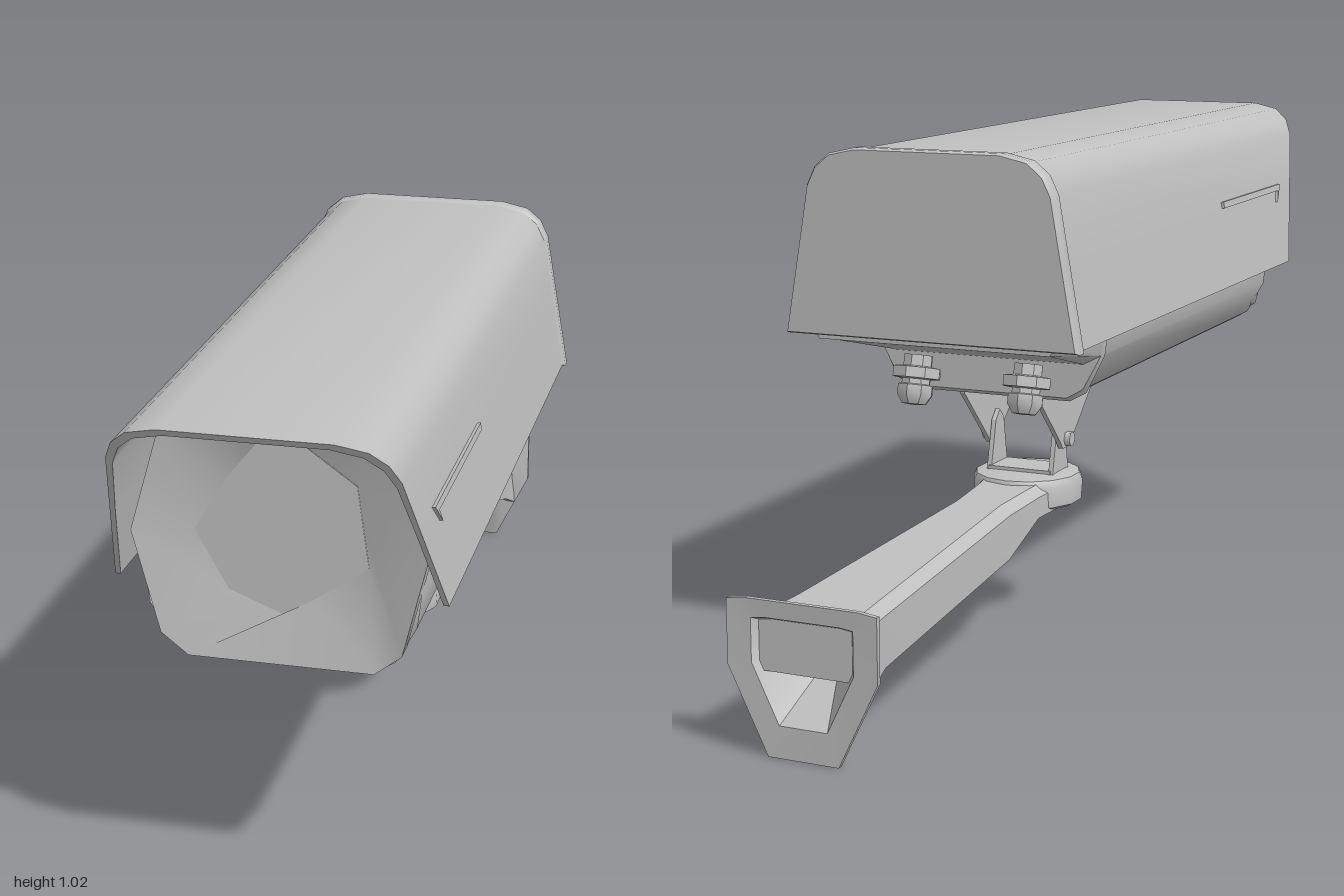
import * as THREE from 'three';
import { toCreasedNormals } from 'three/addons/utils/BufferGeometryUtils.js';

const grey = new THREE.MeshStandardMaterial({ color: 0xc0c0c0, side: THREE.DoubleSide });
grey.name = 'painted metal grey';

// Skin a list of closed rings of [x, y, z]; optional flat end caps
function loft(rings, capStart = true, capEnd = true, crease = 0.7) {
  const n = rings[0].length, pos = [], idx = [];
  rings.forEach(r => r.forEach(p => pos.push(...p)));
  for (let r = 0; r < rings.length - 1; r++) {
    for (let i = 0; i < n; i++) {
      const a = r * n + i, b = r * n + (i + 1) % n;
      idx.push(a, b, b + n, a, b + n, a + n);
    }
  }
  const cap = (base, flip) => {
    const flat = rings[base].map(p => new THREE.Vector2(p[0], p[1]));
    THREE.ShapeUtils.triangulateShape(flat, []).forEach(([a, b, c]) => {
      const o = base * n;
      idx.push(o + a, o + (flip ? c : b), o + (flip ? b : c));
    });
  };
  if (capStart) cap(0, true);
  if (capEnd) cap(rings.length - 1, false);
  const g = new THREE.BufferGeometry();
  g.setAttribute('position', new THREE.Float32BufferAttribute(pos, 3));
  g.setIndex(idx);
  return toCreasedNormals(g, crease);
}

// Complete a right-hand half profile with its mirror image
const mirror = half => [...half, ...half.slice().reverse().map(([x, y]) => [-x, y])];
const atZ = (profile, z) => profile.map(([x, y]) => [x, y, z]);

// Flat plate from a [z, y] outline, thickness along x, centred on x = 0
function sidePlate(points, t) {
  const s = new THREE.Shape(points.map(([z, y]) => new THREE.Vector2(-z, y)));
  const g = new THREE.ExtrudeGeometry(s, { depth: t, bevelEnabled: false });
  return g.translate(0, 0, -t / 2).rotateY(Math.PI / 2);
}

export function createModel() {
  const model = new THREE.Group();
  model.name = 'securityCamera';
  const add = (name, geometry, x = 0, y = 0, z = 0, parent = model) => {
    const m = new THREE.Mesh(geometry, grey);
    m.name = name;
    m.position.set(x, y, z);
    parent.add(m);
    return m;
  };

  // Sun hood: thin arch with a raked front edge
  const arch = [[0.302, 0.665], [0.273, 0.83], [0.252, 0.95], [0.235, 0.985], [0.205, 1.01], [0.15, 1.022]];
  const hoodRing = [...mirror(arch), ...mirror(arch.map(([x, y]) => [x - 0.01, y > 0.9 ? y - 0.012 : y])).reverse()];
  const rake = y => 0.81 + (y - 0.665) * 0.532;
  add('sunHood', loft([atZ(hoodRing, -0.48), hoodRing.map(([x, y]) => [x, y, rake(y)])], true, true, 0.6));

  // Rear cover with a small rim
  const cover = s => mirror(arch).map(([x, y]) => [x * s, 0.845 + (y - 0.845) * s]);
  add('rearCover', loft([atZ(cover(1), -0.505), atZ(cover(1.02), -0.495), atZ(cover(1.02), -0.475), atZ(cover(0.99), -0.465)]));

  // Housing: smooth tray whose underside rises towards the rear
  const tray = mirror([[0.17, 0.52], [0.205, 0.54], [0.243, 0.61], [0.25, 0.665], [0.245, 0.8], [0.21, 0.95], [0.17, 0.985]]);
  const raised = (floor, z) => tray.map(([x, y]) => [x, Math.max(y, floor), z]);
  add('housing', loft([raised(0.652, -0.485), raised(0.59, -0.23), raised(0.52, -0.23), raised(0.52, 0.8)], true, false));
  add('housingLip', loft([atZ(tray, -0.232), atZ(tray.map(([x, y]) => [x * 1.02, y < 0.6 ? y - 0.008 : y]), -0.222),
    atZ(tray, -0.21)]));

  // Front bezel funnelling in to a faceted window
  const rim = [[0.17, 0.52], [0.22, 0.56], [0.268, 0.755], [0.21, 0.95], [0.17, 0.988],
    [-0.16, 0.988], [-0.21, 0.95], [-0.268, 0.755], [-0.22, 0.56], [-0.17, 0.52]];
  const pane = [[0.05, 0.636], [0.155, 0.71], [0.145, 0.785], [0.135, 0.862], [0.04, 0.93],
    [-0.04, 0.93], [-0.1, 0.855], [-0.16, 0.755], [-0.1, 0.645], [0, 0.605]];
  add('bezel', loft([atZ(rim, 0.77), atZ(rim, 0.815), atZ(pane, 0.785)], false, false, 1.2));
  add('window', new THREE.ShapeGeometry(new THREE.Shape(pane.map(p => new THREE.Vector2(...p)))), 0, 0, 0.786);

  // Side trim strips with a small hooked front end
  for (const s of [1, -1]) {
    const strip = sidePlate([[0.4, 0.847], [0.81, 0.847], [0.775, 0.808], [0.787, 0.833], [0.4, 0.833]], 0.009);
    const m = add(s > 0 ? 'leftTrim' : 'rightTrim', strip.translate(0, -0.84, 0), s * 0.273, 0.84, 0);
    m.rotation.z = s * 0.17;
  }

  // Cable glands below the sloped rear panel
  const glandProfile = [[0, -0.07], [0.025, -0.068], [0.037, -0.05], [0.037, -0.03], [0.03, -0.028], [0.03, -0.018],
    [0.05, -0.016], [0.05, 0.005], [0.03, 0.008], [0.03, 0.03]].map(p => new THREE.Vector2(...p));
  for (const s of [1, -1]) {
    const g = toCreasedNormals(new THREE.LatheGeometry(glandProfile, 8), 0.6);
    add(s > 0 ? 'leftGland' : 'rightGland', g, s * 0.12, 0.568, -0.31).rotation.x = 0.25;
  }

  // Tilt bracket: top plate, tapering cheeks, inner yoke and pivot bolts
  const bracket = new THREE.Group();
  bracket.name = 'tiltBracket';
  model.add(bracket);
  add('topPlate', new THREE.BoxGeometry(0.176, 0.012, 0.31), 0, 0.513, -0.028, bracket);
  add('yokeBase', new THREE.BoxGeometry(0.14, 0.012, 0.085), 0, 0.322, -0.04, bracket);
  const cheek = [[0.128, 0.515], [0.125, 0.5], [0.0, 0.39], [-0.02, 0.372], [-0.055, 0.372], [-0.07, 0.39], [-0.18, 0.5], [-0.183, 0.515]];
  const yoke = [[0.003, 0.316], [-0.015, 0.42], [-0.035, 0.44], [-0.055, 0.42], [-0.08, 0.316]];
  for (const s of [1, -1]) {
    add('cheek', sidePlate(cheek, 0.01), s * 0.083, 0, 0, bracket);
    add('yokeArm', sidePlate(yoke, 0.01), s * 0.07, 0, 0, bracket);
    add('pivotBolt', new THREE.CylinderGeometry(0.016, 0.016, 0.035, 6).rotateZ(Math.PI / 2), s * 0.083, 0.39, -0.035, bracket);
  }

  // Round arm head
  const headProfile = [[0, 0.262], [0.1, 0.262], [0.1, 0.25], [0.114, 0.258], [0.117, 0.3], [0.11, 0.315], [0.08, 0.321], [0, 0.321]];
  add('armHead', toCreasedNormals(new THREE.LatheGeometry(headProfile.map(p => new THREE.Vector2(...p)), 14), 0.7), 0, 0, -0.036);

  // Wall arm: channel section, deeper towards the wall, with a recessed underside
  const section = (z, top, bottom, w) => {
    const h = top - bottom, r = Math.min(0.02, h * 0.3);
    return atZ(mirror([[w - 0.03, bottom + h * 0.35], [w - 0.016, bottom], [w, bottom], [w, top - r], [w - r, top]]), z);
  };
  add('wallArm', loft([
    section(-0.985, 0.262, 0.1, 0.115), section(-0.94, 0.262, 0.125, 0.102), section(-0.87, 0.265, 0.15, 0.096),
    section(-0.28, 0.3, 0.19, 0.068), section(-0.15, 0.307, 0.245, 0.075), section(-0.06, 0.314, 0.252, 0.09)]));

  // Wall plate: flared flange with a hollow back
  const flange = mirror([[0.07, 0.005], [0.148, 0.165], [0.148, 0.285], [0.11, 0.29]]);
  const scaled = (s, z) => flange.map(([x, y]) => [x * s, 0.19 + (y - 0.19) * s, z]);
  add('wallPlate', loft([scaled(0.25, -0.9), scaled(0.68, -0.998), scaled(1, -1), scaled(1, -0.99), scaled(0.68, -0.965)], true, false));

  return model;
}
